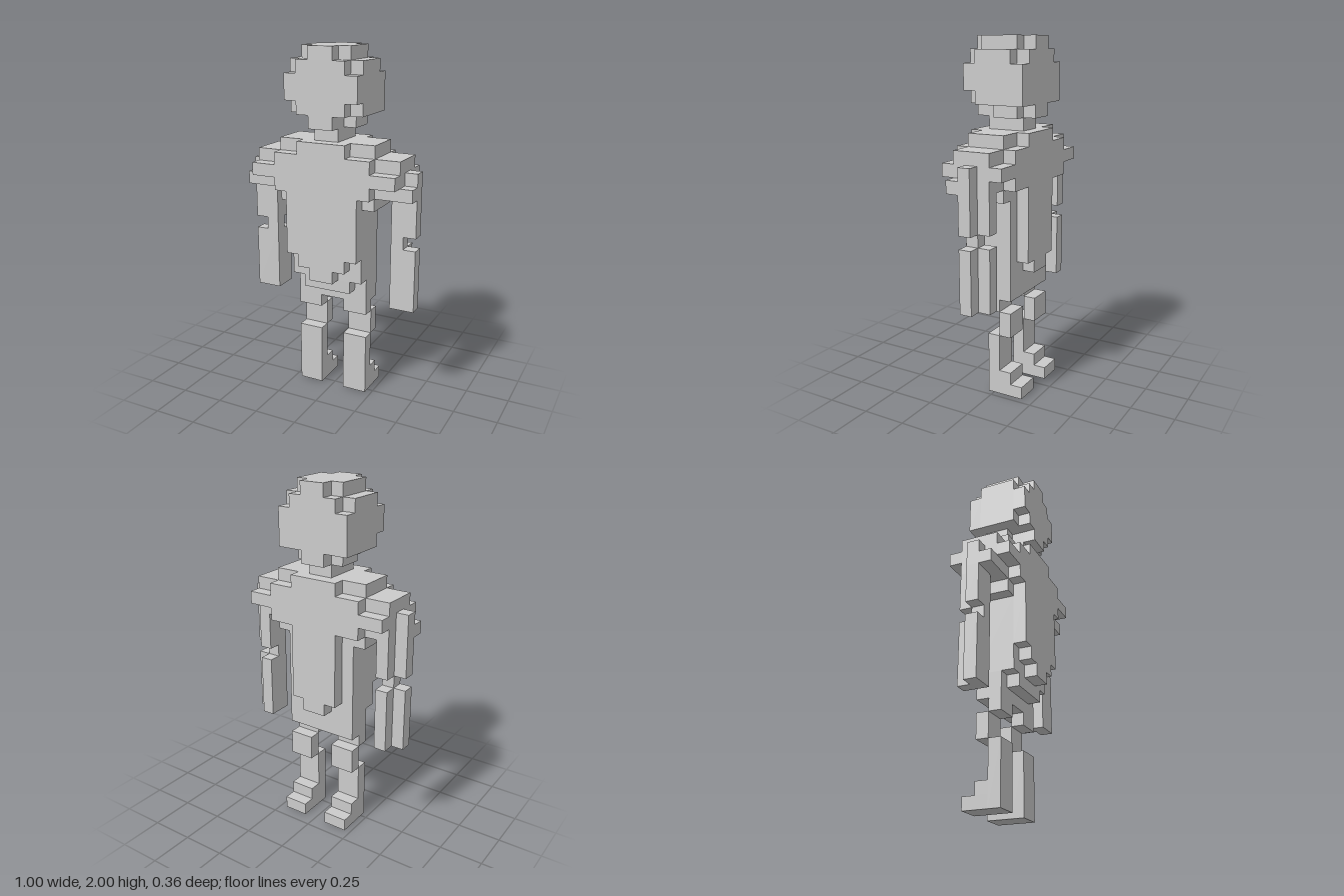
import * as THREE from 'three';

const U = 2 / 28; // one block
const mat = new THREE.MeshStandardMaterial({ color: 0xcccccc, flatShading: true });

// Box in block units: x from x0 to x1, y from y0 to y1, depth layers z0 to z1 (0 = back, 5 = front)
function block(group, name, x0, x1, y0, y1, z0, z1) {
  const geo = new THREE.BoxGeometry((x1 - x0) * U, (y1 - y0) * U, (z1 - z0) * U);
  const mesh = new THREE.Mesh(geo, mat);
  mesh.name = name;
  mesh.position.set((x0 + x1) / 2 * U, (y0 + y1) / 2 * U, ((z0 + z1) / 2 - 2.5) * U);
  group.add(mesh);
}

// Centred rows: [half width, y0, y1, z0, z1]
function rows(root, name, list) {
  const g = new THREE.Group();
  g.name = name;
  for (const [w, ...r] of list) block(g, name + 'Block', -w, w, ...r);
  root.add(g);
}

// Rows on one side, repeated on the other: [x0, x1, y0, y1, z0, z1]
function pair(root, name, list) {
  for (const side of [1, -1]) {
    const g = new THREE.Group();
    g.name = (side > 0 ? 'left' : 'right') + name;
    for (const [a, b, ...r] of list)
      block(g, name.toLowerCase() + 'Block', side > 0 ? a : -b, side > 0 ? b : -a, ...r);
    root.add(g);
  }
}

export function createModel() {
  const root = new THREE.Group();
  root.name = 'blockFigure';

  // Rounded head: stepped front and back layers around a fuller core
  rows(root, 'head', [
    [2, 27, 28, 1, 4], [3, 23, 27, 1, 4], [2, 22, 23, 1, 3], [1, 22, 23, 3, 4],
    [1, 27, 28, 4, 5], [2, 26, 27, 4, 5], [3, 24, 26, 4, 5], [2, 23, 24, 4, 5], [1, 22, 23, 4, 5],
    [1, 27, 28, 0, 1], [2, 26, 27, 0, 1], [3, 23, 26, 0, 1], [1, 22, 23, 0, 1],
  ]);
  rows(root, 'neck', [[1, 21, 22, 1, 4]]);

  // Shoulders
  rows(root, 'shoulders', [
    [4, 20, 21, 1, 4], [6, 17, 20, 1, 4], [4, 16, 17, 1, 4],
    [2, 20, 21, 4, 5], [4, 19, 20, 4, 5], [6, 18, 19, 4, 5], [4, 17, 18, 4, 5],
    [2, 20, 21, 0, 1], [4, 19, 20, 0, 1], [6, 18, 19, 0, 1], [4, 17, 18, 0, 1],
  ]);

  // Chest and belly, tapering at the bottom
  rows(root, 'torso', [
    [3, 10, 16, 1, 4],
    [3, 12, 17, 4, 5], [2, 11, 12, 4, 5], [1, 10, 11, 4, 5],
    [2, 11, 17, 0, 1], [1, 10, 11, 0, 1],
  ]);
  rows(root, 'hips', [[3, 8, 10, 1, 3], [2, 9, 10, 3, 4]]);

  // Arms with a narrow elbow
  pair(root, 'Arm', [
    [6, 7, 17, 19, 2, 3], [6, 7, 17, 18, 3, 4],
    [5, 7, 14, 17, 2, 3], [5, 6, 14, 17, 1, 2],
    [5, 6, 13, 14, 2, 3],
    [5, 7, 8, 13, 2, 3], [5, 6, 8, 13, 1, 2],
  ]);

  // Legs with the knee set back and the foot pointing to the rear
  pair(root, 'Leg', [
    [1, 3, 7, 8, 2, 3], [1, 3, 5, 7, 1, 2], [1, 3, 0, 5, 2, 3],
    [1, 3, 1, 2, 1, 2], [1, 3, 0, 1, 0, 2],
  ]);
  return root;
}
